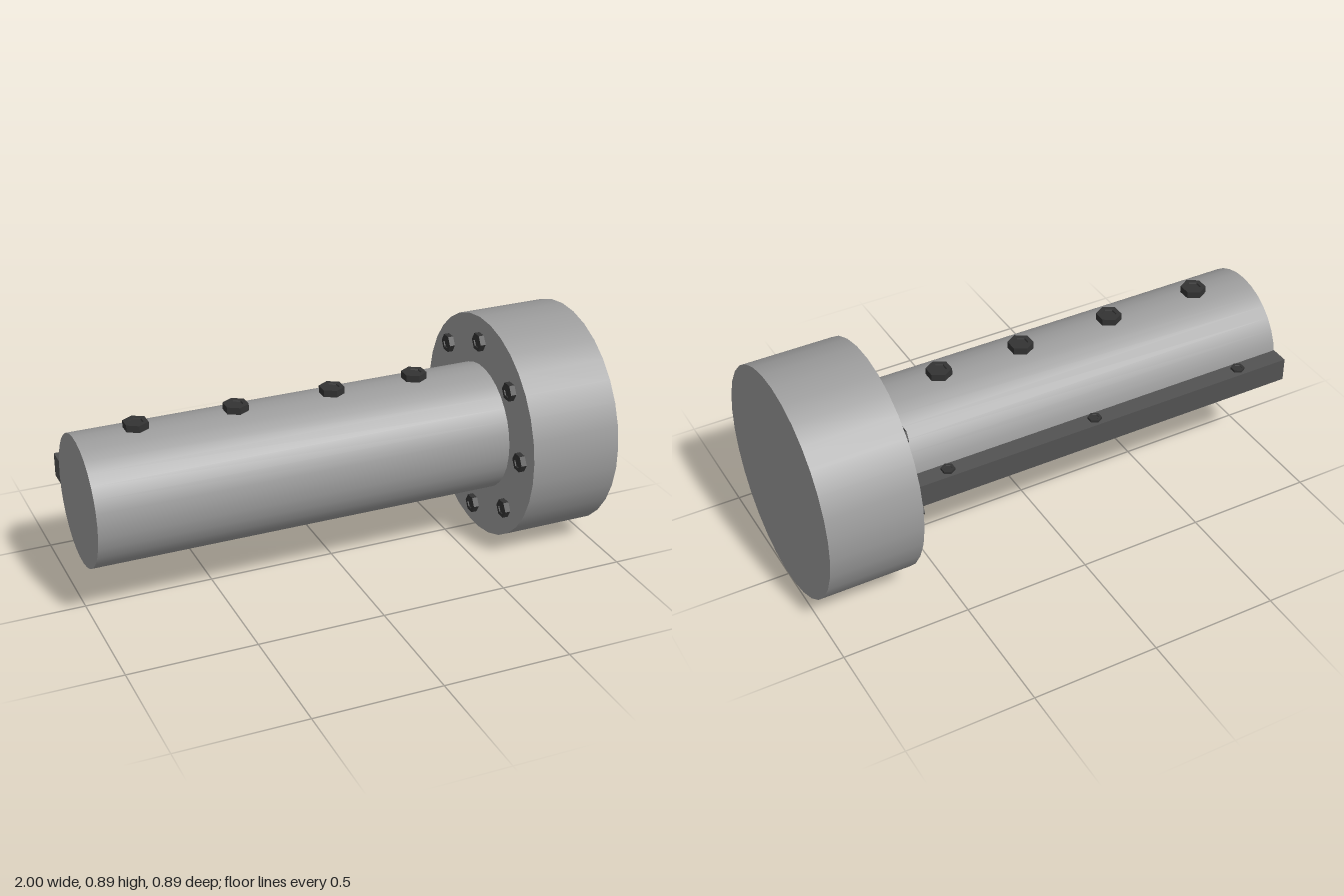
import * as THREE from 'three';

const AXIS_Y = 0.447;

export function createModel() {
  const group = new THREE.Group();
  const grey = new THREE.MeshStandardMaterial({ color: 0x9c9c9c });
  const railGrey = new THREE.MeshStandardMaterial({ color: 0x525252 });
  const dark = new THREE.MeshStandardMaterial({ color: 0x333333, flatShading: true });

  const add = (name, geometry, material, x, y, z) => {
    const mesh = new THREE.Mesh(geometry, material);
    mesh.name = name;
    mesh.position.set(x, y, z);
    group.add(mesh);
    return mesh;
  };

  // Horizontal cylinder running from x0 to x1
  const drum = (name, radius, x0, x1) => {
    const geometry = new THREE.CylinderGeometry(radius, radius, x1 - x0, 32, 1, false, -0.066);
    geometry.rotateZ(-Math.PI / 2);
    return add(name, geometry, grey, (x0 + x1) / 2, AXIS_Y, 0);
  };

  // Hexagonal bolt head with a shallow socket, standing on y = 0, corners along z
  const hexBolt = (r, h) => new THREE.LatheGeometry([
    [0, 0], [r, 0], [r, h], [r * 0.6, h], [r * 0.55, h * 0.8], [0, h * 0.8],
  ].map(([x, y]) => new THREE.Vector2(x, y)), 6);

  drum('shaft', 0.252, -1, 0.636);
  drum('head', 0.447, 0.636, 1);

  // Side rail along the back of the shaft
  add('rail', new THREE.BoxGeometry(1.636, 0.094, 0.072), railGrey, -0.182, AXIS_Y, -0.284);
  for (const x of [-0.803, -0.158, 0.457]) {
    add('railBolt', hexBolt(0.027, 0.009), dark, x, AXIS_Y + 0.047, -0.282);
  }

  // Row of bolts on top of the shaft
  for (const x of [-0.768, -0.383, 0.002, 0.344]) {
    add('shaftBolt', hexBolt(0.049, 0.027), dark, x, 0.699, 0);
  }

  // Ring of bolts on the inner face of the head
  for (let i = 0; i < 8; i++) {
    const a = i * Math.PI / 4;
    const bolt = add('headBolt', hexBolt(0.037, 0.022), dark,
      0.634, AXIS_Y + 0.353 * Math.cos(a), 0.362 * Math.sin(a) - 0.005);
    bolt.rotation.z = Math.PI / 2;
  }
  return group;
}
